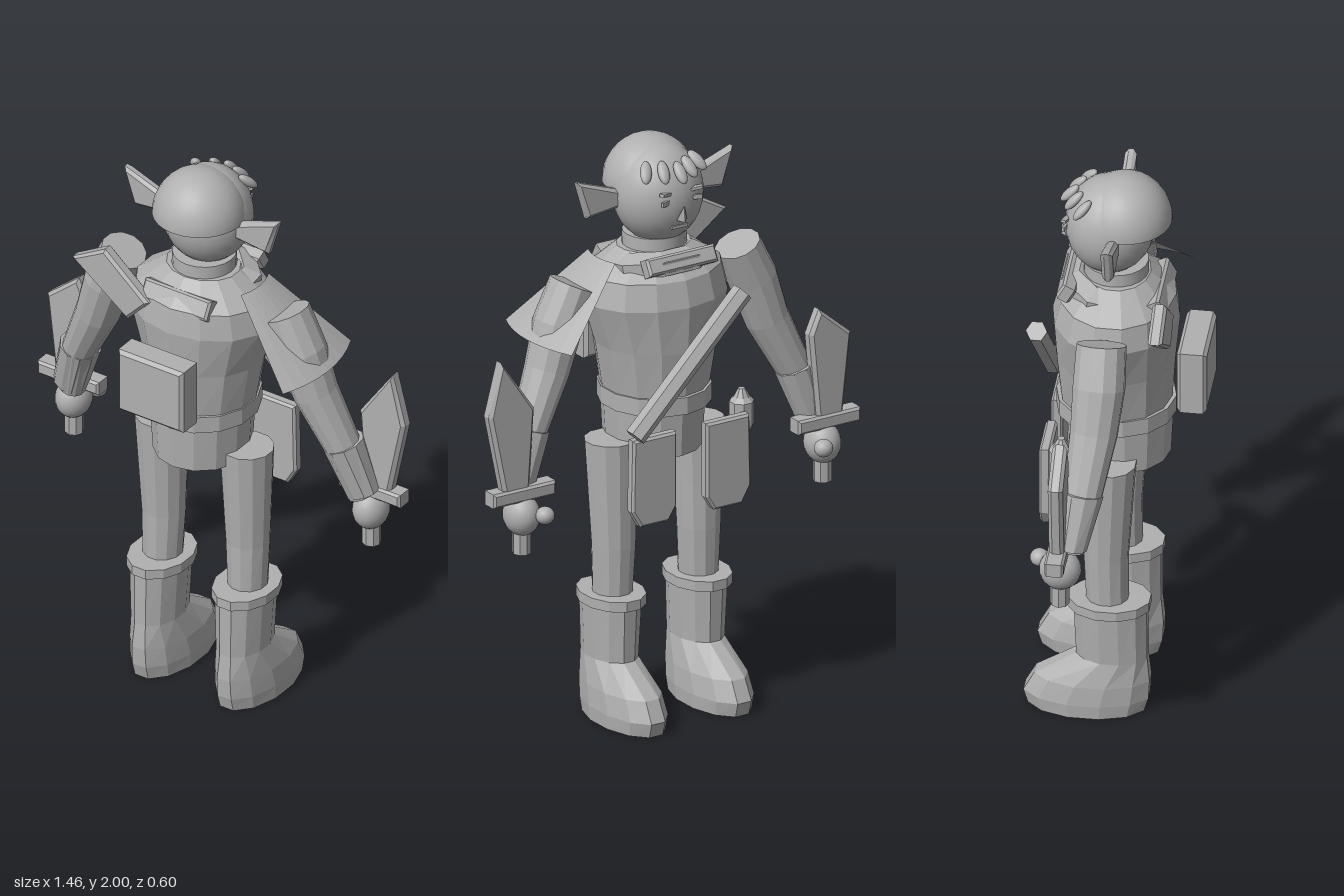
import * as THREE from 'three';

const CX = -0.012; // symmetry plane of the body

export function createModel() {
  const model = new THREE.Group();
  model.name = 'armedFigure';
  const grey = new THREE.MeshStandardMaterial({ color: 0xb0b0b0 });
  grey.name = 'grey';

  function add(name, geo, x = 0, y = 0, z = 0, smooth = false) {
    let g = geo;
    if (!smooth) {
      g = geo.index ? geo.toNonIndexed() : geo;
      g.computeVertexNormals();
    }
    const mesh = new THREE.Mesh(g, grey);
    mesh.name = name;
    mesh.position.set(x, y, z);
    model.add(mesh);
    return mesh;
  }

  // Capped skin over rings [x, y, z, rx, rz]; level rings stay horizontal
  function loft(rings, sides, level = true) {
    const pos = [], idx = [], p = rings.map(r => new THREE.Vector3(r[0], r[1], r[2]));
    const n = rings.length;
    rings.forEach((r, i) => {
      const t = level ? new THREE.Vector3(0, 1, 0)
        : p[Math.min(i + 1, n - 1)].clone().sub(p[Math.max(i - 1, 0)]).normalize();
      const u = t.clone().cross(new THREE.Vector3(0, 0, 1)).normalize();
      const v = u.clone().cross(t);
      for (let j = 0; j < sides; j++) {
        const a = (j + 0.5) / sides * Math.PI * 2;
        const q = p[i].clone().addScaledVector(u, r[3] * Math.cos(a)).addScaledVector(v, r[4] * Math.sin(a));
        pos.push(q.x, q.y, q.z);
      }
    });
    pos.push(...p[0].toArray(), ...p[n - 1].toArray());
    for (let j = 0; j < sides; j++) {
      const k = (j + 1) % sides, top = (n - 1) * sides;
      for (let i = 0; i < n - 1; i++) {
        const a = i * sides + j, b = i * sides + k;
        idx.push(a, a + sides, b, b, a + sides, b + sides);
      }
      idx.push(n * sides, j, k, n * sides + 1, top + k, top + j);
    }
    const g = new THREE.BufferGeometry();
    g.setAttribute('position', new THREE.Float32BufferAttribute(pos, 3));
    g.setIndex(idx);
    return g;
  }

  // Flat outline in x, y with thickness centred on z = 0
  function plate(points, depth, bevel = 0) {
    const g = new THREE.ExtrudeGeometry(new THREE.Shape(points.map(q => new THREE.Vector2(...q))), {
      depth: depth - 2 * bevel, bevelEnabled: bevel > 0, bevelThickness: bevel,
      bevelSize: bevel, bevelOffset: -bevel, bevelSegments: 1,
    });
    return g.translate(0, 0, bevel - depth / 2);
  }
  const box = (w, h, d, b = 0.008) =>
    plate([[-w / 2, -h / 2], [w / 2, -h / 2], [w / 2, h / 2], [-w / 2, h / 2]], d, b);
  const ball = (x, y, z) => new THREE.SphereGeometry(1, 24, 16).scale(x, y, z);

  // Torso, pelvis and belt
  add('torso', loft([
    [CX, 1.12, -0.015, 0.178, 0.185], [CX, 1.3, -0.018, 0.21, 0.2], [CX, 1.46, -0.015, 0.26, 0.212],
    [CX, 1.55, -0.01, 0.24, 0.195], [CX, 1.63, -0.01, 0.13, 0.11]], 14));
  add('pelvis', loft([[CX, 0.92, -0.005, 0.162, 0.172], [CX, 1.09, -0.005, 0.172, 0.18]], 14));
  add('belt', loft([[CX, 1.08, -0.015, 0.186, 0.2], [CX, 1.14, -0.015, 0.186, 0.2]], 14));

  // Neck and collar
  add('neck', new THREE.CylinderGeometry(0.107, 0.11, 0.12, 20), CX, 1.615, -0.015, true);
  const ring = [[0.1, -0.03], [0.18, -0.045], [0.185, 0], [0.13, 0.03], [0.1, 0.02], [0.1, -0.03]];
  const collar = add('collar', new THREE.LatheGeometry(ring.map(q => new THREE.Vector2(...q)), 8, Math.PI / 8),
    CX + 0.005, 1.59, -0.02);
  collar.rotation.x = 0.18;
  add('collarBackPlate', box(0.265, 0.07, 0.05), CX, 1.56, 0.135).rotation.x = -0.5;
  add('collarFrontPlate', box(0.27, 0.06, 0.05), CX, 1.605, -0.165).rotation.x = 0.5;

  // Head, hair cap and tufts
  add('head', ball(0.154, 0.172, 0.15), CX, 1.815, -0.035, true);
  add('hairCap', new THREE.SphereGeometry(1, 28, 10, 0, Math.PI * 2, 0, Math.PI / 2).scale(0.158, 0.162, 0.156),
    CX, 1.838, 0.014, true);
  add('hairCapBase', new THREE.CircleGeometry(0.157, 28).rotateX(Math.PI / 2), CX, 1.838, 0.014);
  [[-0.115, 1.925, -0.115], [-0.062, 1.925, -0.15], [-0.013, 1.92, -0.17],
    [0.04, 1.925, -0.15], [0.09, 1.925, -0.12]].forEach(([x, y, z]) => {
    const tuft = add('hairTuft', ball(0.02, 0.042, 0.016), x, y, z, true);
    tuft.rotation.set(0.75, 0, (x - CX) * 4);
  });

  // Face
  add('nose', new THREE.ConeGeometry(0.02, 0.055, 4), CX, 1.785, -0.188).rotation.x = -0.3;
  add('mouth', box(0.06, 0.01, 0.009, 0), CX, 1.73, -0.166);
  for (const s of [-1, 1]) {
    const eye = add('eye', box(0.05, 0.016, 0.009, 0), CX + s * 0.055, 1.825, -0.174);
    eye.rotation.y = s * 0.35;
    const brow = add('brow', box(0.055, 0.01, 0.018, 0), CX + s * 0.055, 1.855, -0.172);
    brow.rotation.set(0, s * 0.35, s * 0.15);
  }

  for (const s of [-1, 1]) {
    const side = s > 0 ? 'left' : 'right';
    const X = x => CX + s * x;

    // Pointed ear
    add(side + 'Ear', plate([[0.13, 1.838], [0.308, 1.9], [0.268, 1.765], [0.13, 1.78]].map(q => [X(q[0]), q[1]]),
      0.04, 0.012), 0, 0, -0.008);

    // Arm, cuff, hand and thumb
    add(side + 'Arm', loft([
      [X(0.575), 0.89, -0.085, 0.045, 0.045], [X(0.525), 1.08, -0.055, 0.06, 0.065],
      [X(0.435), 1.27, -0.03, 0.075, 0.08], [X(0.385), 1.42, -0.02, 0.084, 0.088],
      [X(0.325), 1.55, -0.02, 0.078, 0.084]], 12, false));
    add(side + 'Cuff', loft([[X(0.585), 0.905, -0.085, 0.06, 0.052], [X(0.525), 1.09, -0.06, 0.07, 0.075]], 10, false));
    add(side + 'Hand', ball(0.06, 0.072, 0.07), X(0.594), 0.825, -0.12, true);
    add(side + 'Thumb', ball(0.032, 0.03, 0.032), X(0.55), 0.835, -0.195, true);

    // Short sword
    add(side + 'SwordGrip', new THREE.CylinderGeometry(0.032, 0.032, 0.22, 8), X(0.594), 0.8, -0.122);
    add(side + 'SwordGuard', box(0.245, 0.05, 0.065), X(0.602), 0.905, -0.125);
    const blade = s > 0
      ? [[0.577, 0.91], [0.557, 1.2], [0.687, 1.385], [0.737, 1.2], [0.677, 0.91]]
      : [[0.56, 0.91], [0.53, 1.22], [0.568, 1.305], [0.693, 1.2], [0.66, 0.91]];
    add(side + 'SwordBlade', plate(blade.map(q => [X(q[0]), q[1]]), 0.05, 0.012), 0, 0, -0.125);

    // Leg and boot
    add(side + 'Leg', loft([
      [X(0.17), 0.38, -0.02, 0.064, 0.07], [X(0.168), 0.6, -0.025, 0.075, 0.075],
      [X(0.17), 0.97, -0.015, 0.092, 0.09]], 12));
    add(side + 'Boot', loft([
      [X(0.17), 0, -0.09, 0.102, 0.2], [X(0.17), 0.05, -0.09, 0.105, 0.215], [X(0.17), 0.12, -0.07, 0.1, 0.198],
      [X(0.17), 0.21, -0.005, 0.082, 0.122], [X(0.17), 0.41, -0.01, 0.092, 0.126]], 12));
    add(side + 'BootCuff', loft([[X(0.17), 0.4, -0.015, 0.105, 0.14], [X(0.17), 0.435, -0.015, 0.105, 0.14]], 12));

    // Hanging belt panel
    add(side + 'BeltPanel', plate([[0.058, 1.04], [0.23, 1.04], [0.235, 0.79], [0.2, 0.73], [0.09, 0.73], [0.058, 0.78]]
      .map(q => [X(q[0]), q[1]]), 0.04, 0.008), 0, 0, -0.222);
  }

  // Shoulder cape: a sector of a cone, thin and open
  const cape = add('shoulderCape', new THREE.CylinderGeometry(0.19, 0.465, 0.235, 8, 1, true,
    Math.PI / 2 - 0.44, 0.88), 0.02, 1.5, -0.01);
  const inside = cape.geometry.clone();
  const q = inside.attributes.position;
  for (let i = 0; i < q.count; i += 3) {
    const a = new THREE.Vector3().fromBufferAttribute(q, i), b = new THREE.Vector3().fromBufferAttribute(q, i + 1);
    q.setXYZ(i, b.x, b.y - 0.006, b.z);
    q.setXYZ(i + 1, a.x, a.y - 0.006, a.z);
    q.setY(i + 2, q.getY(i + 2) - 0.006);
  }
  add('shoulderCapeLining', inside, 0.02, 1.5, -0.01);

  // Shoulder plate, pouch and diagonal strap
  add('shoulderPlate', plate([[-0.405, 1.61], [-0.275, 1.685], [-0.1, 1.535], [-0.185, 1.445]], 0.048, 0.01), 0, 0, 0.165);
  add('pouch', box(0.26, 0.235, 0.1, 0.012), CX - 0.003, 1.283, 0.252);
  const strap = add('chestStrap', new THREE.CylinderGeometry(0.036, 0.036, 0.6, 6), 0.01, 1.275, -0.255);
  strap.rotation.z = 0.785;

  // Belt flask
  add('flask', loft([[-0.258, 0.965, -0.165, 0.036, 0.036], [-0.258, 0.98, -0.165, 0.042, 0.042],
    [-0.258, 1.06, -0.165, 0.042, 0.042], [-0.258, 1.075, -0.165, 0.028, 0.028],
    [-0.258, 1.105, -0.165, 0.012, 0.012]], 8));

  return model;
}
